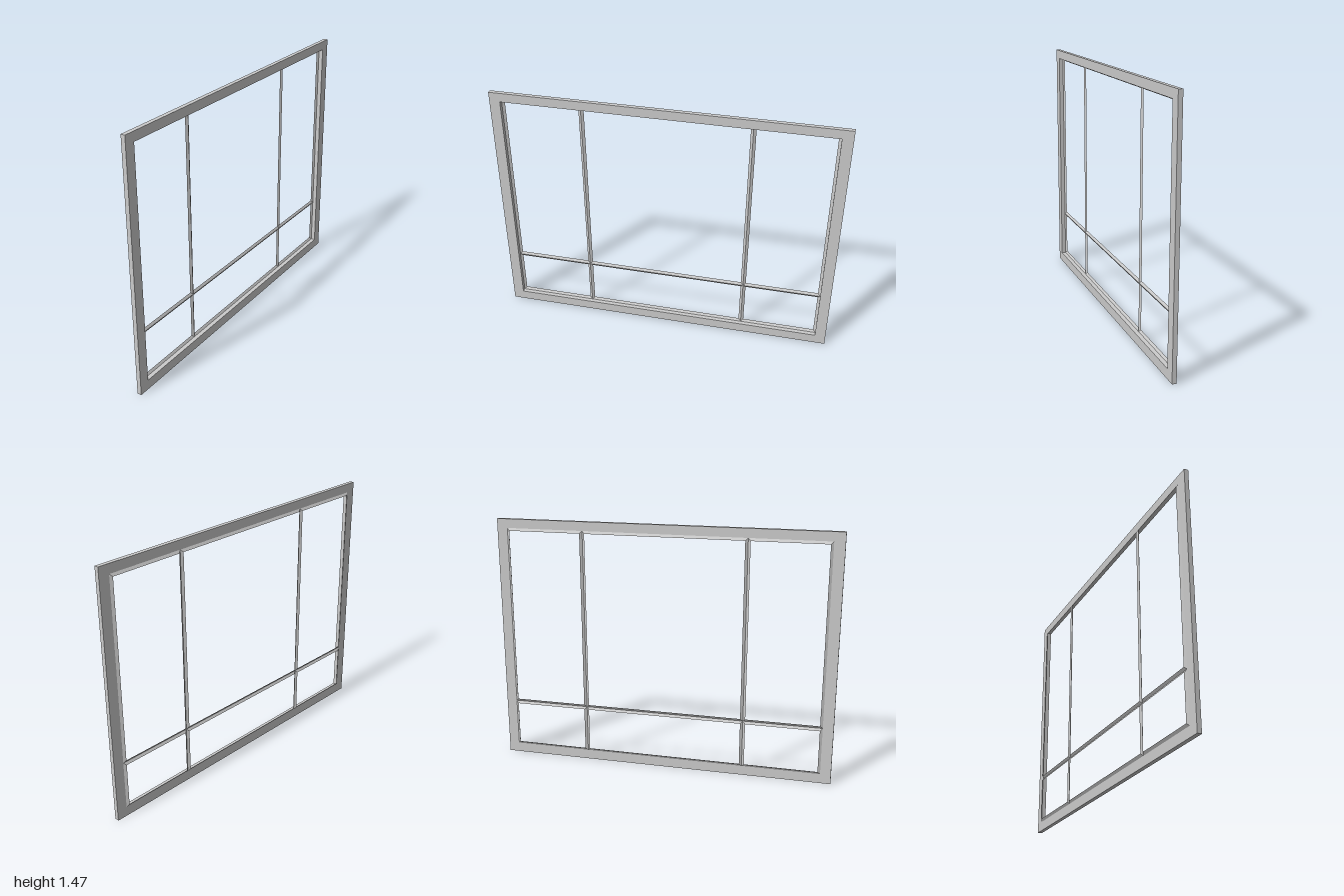
import * as THREE from 'three';

const H = 1.47;                                // overall height
const FRAME_BACK = -0.008, FRAME_FRONT = 0.017; // frame thickness along x
const BEAD_BACK = -0.017, BEAD_WIDTH = 0.015;   // how far the beads slope back and inward
const COLUMNS = [-0.938, -0.478, 0.478, 0.938]; // pane boundaries along z
const ROWS = [0.057, 0.343, 1.417];             // pane boundaries along y

const material = new THREE.MeshStandardMaterial({
  color: 0xcccccc, flatShading: true, side: THREE.DoubleSide,
});

// Corners of a rectangle in the zy plane
const corners = (z0, z1, y0, y1) => [[z0, y0], [z1, y0], [z1, y1], [z0, y1]];

// Flat rectangular frame with one large opening
function frameGeometry() {
  const points = (list) => list.map(([z, y]) => new THREE.Vector2(z, y));
  const shape = new THREE.Shape(points(corners(-1, 1, 0, H)));
  shape.holes.push(new THREE.Path(points(corners(COLUMNS[0], COLUMNS[3], ROWS[0], ROWS[2]))));
  const geometry = new THREE.ExtrudeGeometry(shape, {
    depth: FRAME_FRONT - FRAME_BACK, bevelEnabled: false,
  });
  return geometry.rotateY(Math.PI / 2).translate(FRAME_BACK, 0, 0);
}

// Thin mitred bead around one pane, sloping back towards the pane's middle
function beadGeometry(z0, z1, y0, y1) {
  const w = BEAD_WIDTH;
  const outer = corners(z0, z1, y0, y1).map(([z, y]) => [FRAME_BACK, y, z]);
  const inner = corners(z0 + w, z1 - w, y0 + w, y1 - w).map(([z, y]) => [BEAD_BACK, y, z]);
  const positions = [];
  for (let i = 0; i < 4; i++) {
    const j = (i + 1) % 4;
    for (const p of [outer[i], inner[j], outer[j], outer[i], inner[i], inner[j]]) {
      positions.push(...p);
    }
  }
  const geometry = new THREE.BufferGeometry();
  geometry.setAttribute('position', new THREE.Float32BufferAttribute(positions, 3));
  geometry.computeVertexNormals();
  return geometry;
}

export function createModel() {
  const model = new THREE.Group();
  model.name = 'windowFrame';

  const frame = new THREE.Mesh(frameGeometry(), material);
  frame.name = 'outerFrame';
  model.add(frame);

  // Neighbouring beads meet in a ridge and form the glazing bars
  const beads = new THREE.Group();
  beads.name = 'glazingBars';
  for (let r = 0; r < ROWS.length - 1; r++) {
    for (let c = 0; c < COLUMNS.length - 1; c++) {
      const bead = new THREE.Mesh(
        beadGeometry(COLUMNS[c], COLUMNS[c + 1], ROWS[r], ROWS[r + 1]), material);
      bead.name = `paneBead${r + 1}${c + 1}`;
      beads.add(bead);
    }
  }
  model.add(beads);
  return model;
}
